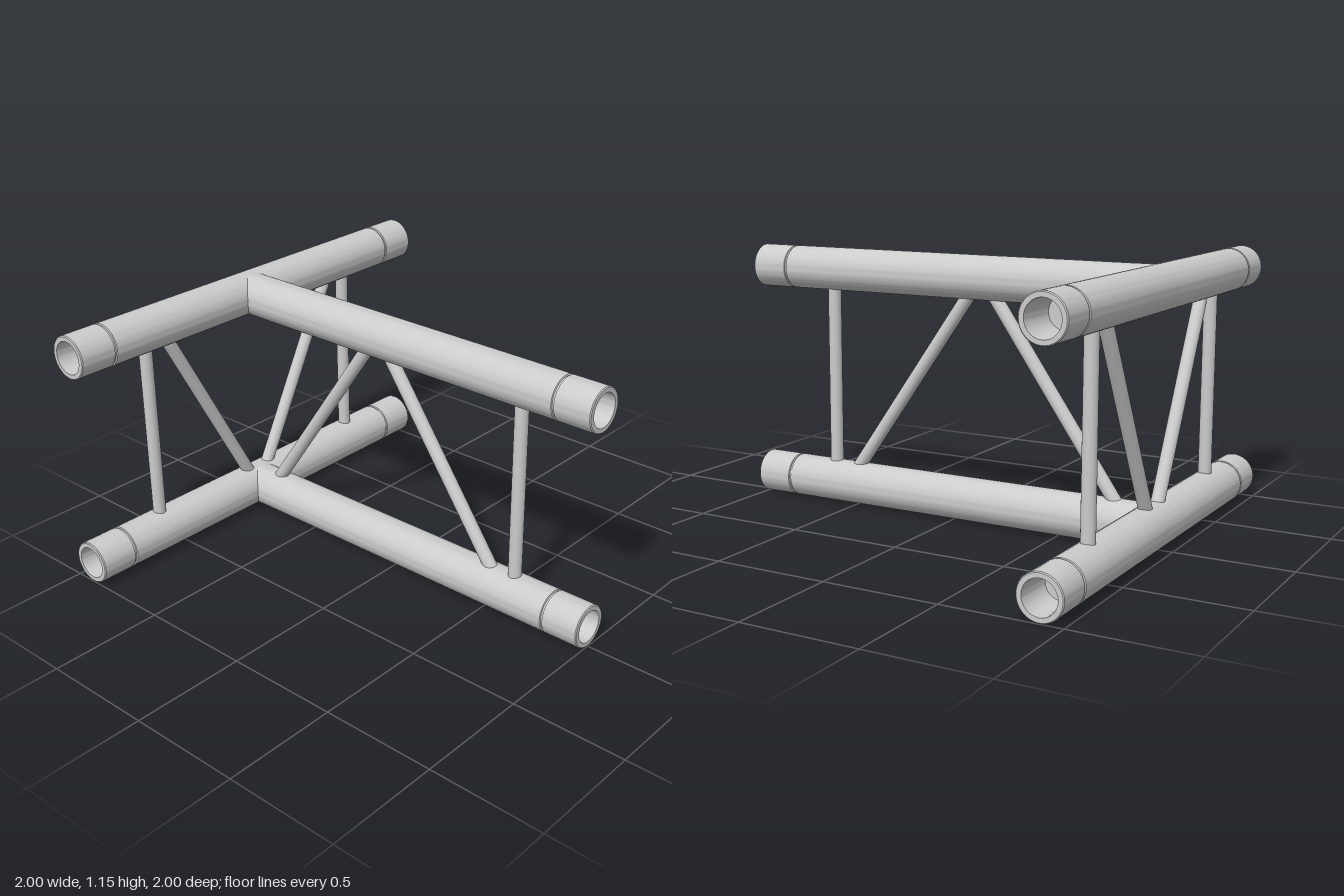
import * as THREE from 'three';
import { toCreasedNormals } from 'three/addons/utils/BufferGeometryUtils.js';

const R = 0.094;            // chord tube radius
const BRACE_R = 0.029;      // brace radius
const LOW = 0.094, HIGH = 1.056; // chord heights
const CORNER_X = -0.905;    // where the arms meet

export function createModel() {
  const model = new THREE.Group();
  const material = new THREE.MeshStandardMaterial({ color: 0xcccccc });

  // Chord tube: outer wall, groove, bevelled rim and tapered socket, turned about its axis
  function chord(name, length, direction, y) {
    const groove = length - 0.178;
    const profile = [
      [R, 0], [R, groove], [R - 0.006, groove + 0.002], [R - 0.006, groove + 0.01], [R, groove + 0.012],
      [R, length - 0.004], [R - 0.004, length], [0.071, length], [0.062, length - 0.17], [0, length - 0.17],
    ].map(([r, h]) => new THREE.Vector2(r, h));
    const geometry = toCreasedNormals(new THREE.LatheGeometry(profile, 64), 0.5);
    const mesh = new THREE.Mesh(geometry, material);
    mesh.name = name;
    mesh.quaternion.setFromUnitVectors(new THREE.Vector3(0, 1, 0), direction);
    mesh.position.set(CORNER_X, y, 0);
    model.add(mesh);
  }

  // Round brace between two points, its ends buried in the chords
  function brace(name, from, to) {
    const a = new THREE.Vector3(...from), b = new THREE.Vector3(...to);
    const axis = b.clone().sub(a);
    const length = axis.length() + 0.08;
    const mesh = new THREE.Mesh(new THREE.CylinderGeometry(BRACE_R, BRACE_R, length, 32), material);
    mesh.name = name;
    mesh.quaternion.setFromUnitVectors(new THREE.Vector3(0, 1, 0), axis.normalize());
    mesh.position.copy(a.add(b).multiplyScalar(0.5));
    model.add(mesh);
  }

  // Upper and lower chords of the three arms
  for (const [level, y] of [['lower', LOW], ['upper', HIGH]]) {
    chord(level + 'FrontChord', 1, new THREE.Vector3(0, 0, 1), y);
    chord(level + 'BackChord', 1, new THREE.Vector3(0, 0, -1), y);
    chord(level + 'SideChord', 1 - CORNER_X, new THREE.Vector3(1, 0, 0), y);
  }

  const bottom = 0.19, top = 0.97;

  // Braces of the front and back arms
  for (const [side, s] of [['front', 1], ['back', -1]]) {
    brace(side + 'Post', [CORNER_X, bottom, s * 0.608], [CORNER_X, top, s * 0.608]);
    brace(side + 'Diagonal', [CORNER_X, bottom, s * 0.07], [CORNER_X, top, s * 0.485]);
  }

  // Braces of the side arm
  brace('sidePost', [0.625, bottom, 0], [0.625, top, 0]);
  brace('sideInnerDiagonal', [-0.735, bottom, 0], [-0.19, top, 0]);
  brace('sideOuterDiagonal', [0.49, bottom, 0], [-0.055, top, 0]);

  return model;
}
